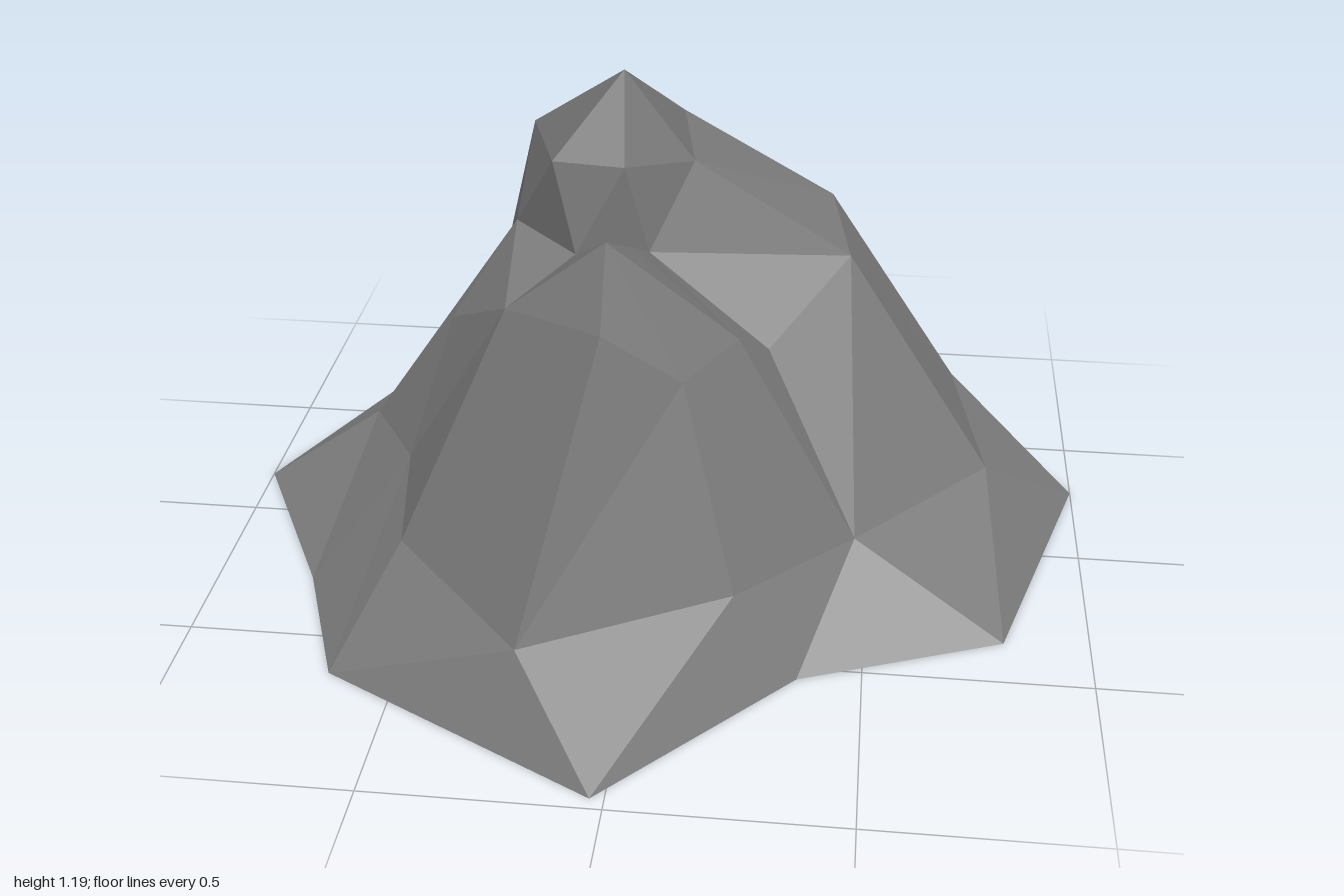
import * as THREE from 'three';

// Contour loops, each running front -> +x -> back -> -x
const foot = [
  [-0.03, 0, 0.97], [0.36, 0, 0.54], [0.81, 0, 0.36], [1, 0, -0.29], [0.8, 0, -0.57],
  [0.47, 0, -0.71], [0.08, 0, -0.98], [-0.35, 0, -0.93], [-0.56, 0, -0.62], [-0.83, 0, -0.48],
  [-1, 0, -0.16], [-0.78, 0, 0.28], [-0.65, 0, 0.63],
];
const skirt = [
  [-0.21, 0.2, 0.77], [0.22, 0.2, 0.53], [0.47, 0.2, 0.28], [0.77, 0.2, -0.06], [0.69, 0.27, -0.39],
  [0.28, 0.22, -0.74], [0.03, 0.23, -0.78], [-0.36, 0.14, -0.83], [-0.5, 0.18, -0.54], [-0.61, 0.23, -0.39],
  [-0.72, 0.19, -0.18], [-0.57, 0.25, 0.12], [-0.53, 0.2, 0.4],
];
const shoulder = [
  [-0.06, 0.8, 0.52], [0.1, 0.66, 0.44], [0.2, 0.66, 0.23], [0.26, 0.58, 0.12], [0.43, 0.72, -0.09],
  [0.38, 0.78, -0.3], [0.3, 0.58, -0.56], [-0.25, 0.43, -0.62], [-0.42, 0.57, -0.4], [-0.33, 0.79, -0.05],
  [-0.46, 0.6, 0.08], [-0.3, 0.73, 0.28],
];
const crown = [
  [-0.07, 0.93, 0.35], [-0.03, 0.85, 0.2], [-0.01, 0.79, 0.09], [0.08, 0.97, -0.01], [0.03, 0.98, -0.29],
  [-0.25, 0.77, -0.47], [-0.31, 0.97, -0.21], [-0.22, 1, 0.1], [-0.17, 0.79, 0.12],
];
const summit = [-0.07, 1.19, 0.03];
const brow = [-0.06, 1, 0.12];

// Zips two closed loops together: L advances the lower loop, U the upper one
function zip(lower, upper, steps) {
  const tris = [];
  let i = 0, j = 0;
  const lo = (k) => lower[k % lower.length];
  const up = (k) => upper[k % upper.length];
  for (const s of steps) {
    if (s === 'L') tris.push(lo(i), lo(++i), up(j));
    else if (s === 'U') tris.push(lo(i), up(j + 1), up(j++));
  }
  return tris;
}

export function createModel() {
  const group = new THREE.Group();
  group.name = 'rockyMountain';
  const stone = new THREE.MeshStandardMaterial({ color: 0x7c7c7c, flatShading: true, side: THREE.DoubleSide });
  stone.name = 'stone grey';

  const add = (name, points) => {
    const geometry = new THREE.BufferGeometry();
    geometry.setAttribute('position', new THREE.Float32BufferAttribute(points.flat(), 3));
    geometry.computeVertexNormals();
    const mesh = new THREE.Mesh(geometry, stone);
    mesh.name = name;
    group.add(mesh);
  };

  // Flared foot of the mountain
  add('foot', zip(foot, skirt, 'UL'.repeat(4) + 'L' + 'UL'.repeat(7) + 'UUL'));

  // Steep main slopes
  add('slopes', zip(skirt, shoulder, 'U LL UUU LL UU LL U LL U LL U L UU L U L'));

  // Upper slopes, with one ledge facet on the -x side
  const inner = shoulder.filter((_, k) => k !== 10);
  add('upperSlopes', [
    ...zip(inner, crown, 'LL UU LL U L U L U LL U L UU L U L'),
    shoulder[9], shoulder[10], shoulder[11],
  ]);

  // Saddle between the two peaks
  const [c0, c1, c2, c3, c4, c5, c6, c7, c8] = crown;
  add('saddle', [c0, c1, c8, c1, c2, c8]);

  // Main peak
  add('peak', [
    summit, c3, c4, summit, c4, c6, c4, c5, c6, summit, c6, c7,
    summit, c7, brow, summit, brow, c3,
    brow, c7, c8, brow, c8, c2, brow, c2, c3,
  ]);
  return group;
}
